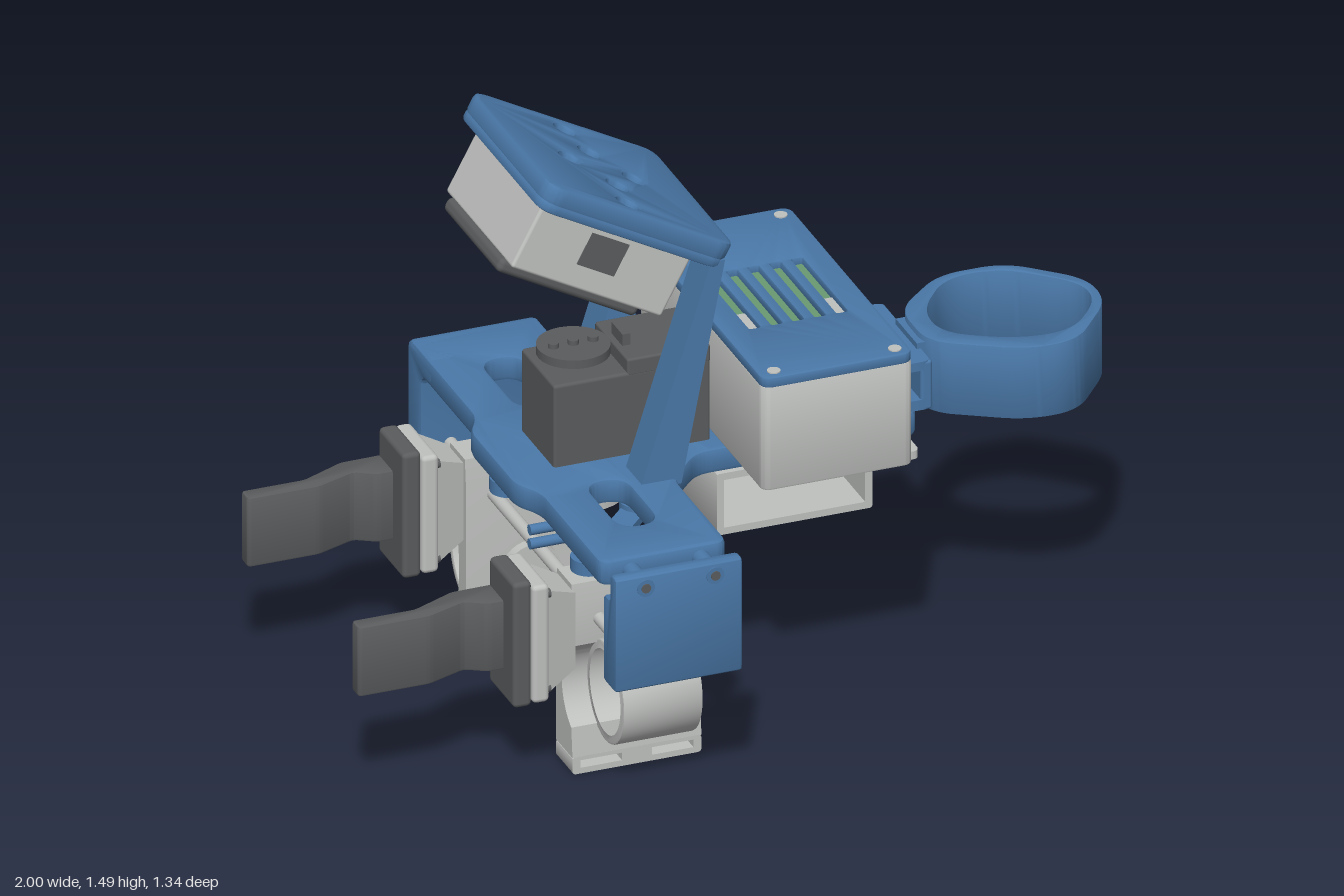
import * as THREE from 'three';
import { toCreasedNormals } from 'three/addons/utils/BufferGeometryUtils.js';
import { RoundedBoxGeometry } from 'three/addons/geometries/RoundedBoxGeometry.js';

const mat = (name, color) => Object.assign(new THREE.MeshStandardMaterial({ color }), { name });
const BLUE = mat('blue plastic', 0x4a78a8);
const LIGHT = mat('light grey plastic', 0xbfc1bf);
const DARK = mat('dark grey plastic', 0x5a5c5e);
const GREEN = mat('green circuit board', 0x6a9a72);
const RED = mat('red button', 0xb0523f);

// Closed outline with every corner rounded by up to r
function poly(pts, r = 0, Type = THREE.Shape) {
  const s = new Type(), v = pts.map(p => new THREE.Vector2(...p)), n = v.length;
  const toward = (a, b) => a.clone().lerp(b, Math.min(r / a.distanceTo(b), 0.49));
  v.forEach((c, i) => {
    const a = toward(c, v[(i + n - 1) % n]), b = toward(c, v[(i + 1) % n]);
    if (i) s.lineTo(a.x, a.y); else s.moveTo(a.x, a.y);
    if (r) s.quadraticCurveTo(c.x, c.y, b.x, b.y);
  });
  s.closePath();
  return s;
}
const rect = (x0, y0, x1, y1, r = 0, Type) => poly([[x0, y0], [x1, y0], [x1, y1], [x0, y1]], r, Type);
const circle = (x, y, r) => new THREE.Path().absarc(x, y, r, 0, Math.PI * 2);

function add(parent, name, geo, material, x = 0, y = 0, z = 0) {
  const m = new THREE.Mesh(geo, material);
  m.name = name;
  m.position.set(x, y, z);
  parent.add(m);
  return m;
}

// Extrude along an axis from lo to hi; outline is (x,y) for z, (x,z) for y, (z,y) for x
function extrude(parent, name, material, shape, axis, lo, hi, bevel = 0) {
  let g = new THREE.ExtrudeGeometry(shape, {
    depth: hi - lo - 2 * bevel, curveSegments: 12, bevelEnabled: bevel > 0,
    bevelThickness: bevel, bevelSize: bevel, bevelOffset: -bevel, bevelSegments: 2,
  });
  g.translate(0, 0, bevel);
  if (axis === 'y') g.rotateX(Math.PI / 2).translate(0, hi, 0);
  else if (axis === 'x') g.rotateY(-Math.PI / 2).translate(hi, 0, 0);
  else g.translate(0, 0, lo);
  return add(parent, name, toCreasedNormals(g, 0.6), material);
}

// Box given by its min and max corners
function box(parent, name, material, [x0, y0, z0], [x1, y1, z1], r = 0) {
  const d = [x1 - x0, y1 - y0, z1 - z0];
  const g = r ? new RoundedBoxGeometry(...d, 2, r) : new THREE.BoxGeometry(...d);
  return add(parent, name, g, material, (x0 + x1) / 2, (y0 + y1) / 2, (z0 + z1) / 2);
}

function cyl(parent, name, material, r, h, axis, x, y, z) {
  const m = add(parent, name, new THREE.CylinderGeometry(r, r, h, 28), material, x, y, z);
  if (axis === 'z') m.rotation.x = Math.PI / 2;
  if (axis === 'x') m.rotation.z = Math.PI / 2;
  return m;
}

function group(parent, name) {
  const g = new THREE.Group();
  g.name = name;
  parent.add(g);
  return g;
}

// Cross-shaped base, end flanges and guide rods
function buildFrame(root) {
  const g = group(root, 'frame');
  const base = poly([[-0.476, -0.64], [-0.155, -0.64], [-0.155, -0.29], [-0.06, -0.185], [0.5, -0.185],
    [0.5, 0.13], [-0.06, 0.13], [-0.155, 0.23], [-0.155, 0.572], [-0.476, 0.572],
    [-0.476, 0.18], [-0.515, 0.12], [-0.515, -0.17], [-0.476, -0.23]], 0.035);
  base.holes.push(rect(-0.363, -0.487, -0.267, -0.24, 0.055, THREE.Path), rect(-0.363, 0.18, -0.267, 0.415, 0.055, THREE.Path));
  extrude(g, 'basePlate', BLUE, base, 'y', 0.59, 0.655, 0.012);
  const bent = poly([[-0.5, 0.655], [-0.667, 0.655], [-0.667, 0.355], [-0.58, 0.355], [-0.58, 0.59], [-0.5, 0.59]], 0.03);
  extrude(g, 'bentFlange', BLUE, bent, 'x', -0.476, -0.155, 0.012);
  const clip = poly([[0.625, 0.655], [0.665, 0.655], [0.665, 0.355], [0.583, 0.355], [0.583, 0.582], [0.625, 0.582]], 0.014);
  extrude(g, 'endFlange', BLUE, clip, 'x', -0.476, -0.155, 0.008);
  for (const x of [-0.4, -0.225]) {
    cyl(g, 'flangeScrew', BLUE, 0.022, 0.1, 'z', x, 0.622, 0.618);
    cyl(g, 'screwSocket', DARK, 0.012, 0.006, 'z', x, 0.622, 0.667);
    cyl(g, 'guideRod', LIGHT, 0.016, 1.18, 'z', x, 0.4, 0);
  }
}

// Sliding finger holder; s is the side the ring points to
function buildHolder(root, name, s, z0, z1, cz, cy, rz, ry, power) {
  const g = group(root, name);
  const oval = (k, from, to, n) => Array.from({ length: n }, (_, i) => {
    const t = from + (to - from) * i / (n - 1), q = Math.sin(t);
    return [cz - s * (rz - k) * Math.cos(t), cy + (ry - k) * Math.sign(q) * Math.abs(q) ** power];
  });
  const carve = oval(0.008, -Math.PI / 2, Math.PI / 2, 41).filter(p => s * (p[0] - z1) < 0);
  extrude(g, 'slider', LIGHT, poly([[z0, 0.044], [z1, 0.044], ...carve, [z1, 0.44], [z1 - s * 0.006, 0.5], [z0 + s * 0.006, 0.5], [z0, 0.44]]),
    'x', -0.47, -0.145);
  const foot = rect(-0.47, 0, -0.145, 0.045, 0.01);
  foot.holes.push(rect(-0.45, 0.015, -0.345, 0.035, 0, THREE.Path), rect(-0.27, 0.015, -0.165, 0.035, 0, THREE.Path));
  extrude(g, 'sliderFoot', LIGHT, foot, 'z', Math.min(z0, z1), Math.max(z0, z1));
  const ring = poly(oval(0, 0, Math.PI * 2, 61).slice(1));
  ring.holes.push(poly(oval(0.018, 0, Math.PI * 2, 61).slice(1), 0, THREE.Path));
  extrude(g, 'fingerRing', LIGHT, ring, 'x', -0.405, -0.205, 0.004);
}

// Gripping jaw with its tapered mount
function buildJaw(root, name, dz) {
  const g = group(root, name);
  g.position.z = dz;
  const jaw = poly([[-1, -0.4], [-0.84, -0.4], [-0.73, -0.45], [-0.6, -0.452], [-0.6, -0.36],
    [-0.67, -0.36], [-0.72, -0.39], [-0.82, -0.353], [-1, -0.353]], 0.012);
  extrude(g, 'jaw', DARK, jaw, 'y', 0.295, 0.477, 0.006);
  box(g, 'jawBase', DARK, [-0.632, 0.22, -0.455], [-0.585, 0.55, -0.295], 0.012);
  box(g, 'mountPlate', LIGHT, [-0.588, 0.23, -0.468], [-0.545, 0.54, -0.283], 0.012);
  const taper = new THREE.BoxGeometry(0.08, 0.2, 0.1).toNonIndexed(), p = taper.attributes.position;
  for (let i = 0; i < p.count; i++) if (p.getX(i) < 0) p.setXYZ(i, p.getX(i), p.getY(i) * 1.35, p.getZ(i) * 1.6);
  taper.computeVertexNormals();
  add(g, 'taperedNeck', taper, LIGHT, -0.506, 0.385, -0.372);
  for (const y of [0.26, 0.51]) for (const z of [-0.45, -0.3]) cyl(g, 'mountScrew', DARK, 0.011, 0.008, 'x', -0.543, y, z);
}

// Servo, horn and the two push links under the base
function buildDrive(root) {
  const g = group(root, 'drive');
  box(g, 'servoBody', DARK, [-0.4, 0.57, -0.13], [-0.005, 0.87, 0.08], 0.008);
  box(g, 'servoTop', DARK, [-0.215, 0.86, -0.13], [-0.005, 0.905, 0.08], 0.006);
  cyl(g, 'servoHub', DARK, 0.04, 0.05, 'y', -0.31, 0.885, -0.025);
  cyl(g, 'servoDisc', DARK, 0.088, 0.022, 'y', -0.31, 0.905, -0.025);
  for (const x of [-0.36, -0.31, -0.26]) cyl(g, 'discScrew', DARK, 0.013, 0.016, 'y', x, 0.92, -0.025);
  box(g, 'servoPlug', DARK, [-0.2, 0.9, -0.06], [-0.18, 0.935, 0.01]);
  cyl(g, 'horn', LIGHT, 0.13, 0.022, 'y', -0.31, 0.545, -0.025);
  cyl(g, 'hornShaft', DARK, 0.04, 0.09, 'y', -0.31, 0.56, -0.025);
  for (const s of [1, -1]) {
    const a = [-0.31 + s * 0.09, -0.025 - s * 0.33], b = [-0.31 - s * 0.12, -0.025 - s * 0.11];
    const link = group(g, 'pushLink');
    const bar = box(link, 'linkBar', BLUE, [-0.16, 0.502, -0.03], [0.16, 0.522, 0.03]);
    bar.position.set((a[0] + b[0]) / 2, 0.512, (a[1] + b[1]) / 2);
    bar.rotation.y = Math.atan2(a[1] - b[1], b[0] - a[0]);
    for (const [x, z] of [a, b]) cyl(link, 'linkEye', BLUE, 0.045, 0.034, 'y', x, 0.517, z);
    for (const y of [0.505, 0.542]) cyl(link, 'linkPin', BLUE, 0.013, 0.1, 'x', -0.315 + s * 0.125, y, -0.025 - s * 0.175);
  }
}

// Electronics case with slotted lid, and the open tray below
function buildCase(root) {
  const g = group(root, 'electronicsCase');
  const body = rect(0.01, -0.42, 0.39, 0.375, 0.025);
  extrude(g, 'caseBody', LIGHT, body, 'y', 0.655, 0.928, 0.006);
  const lid = rect(0.01, -0.42, 0.39, 0.375, 0.03);
  const slots = [0.09, 0.146, 0.2, 0.255, 0.31];
  for (const x of slots) lid.holes.push(rect(x - 0.014, -0.17, x + 0.014, 0.122, 0.006, THREE.Path));
  extrude(g, 'lid', BLUE, lid, 'y', 0.926, 0.952, 0.004);
  box(g, 'circuitBoard', GREEN, [0.06, 0.926, -0.2], [0.34, 0.934, 0.15]);
  for (const x of [0.09, 0.31]) box(g, 'connector', LIGHT, [x - 0.014, 0.93, 0.02], [x + 0.014, 0.938, 0.122]);
  for (const x of [0.05, 0.355]) for (const z of [-0.385, 0.342]) {
    cyl(g, 'lidScrew', LIGHT, 0.016, 0.006, 'y', x, 0.952, z);
  }
  box(g, 'portRecess', DARK, [0.24, 0.735, -0.423], [0.325, 0.815, -0.418]);
  box(g, 'portBoard', GREEN, [0.25, 0.745, -0.426], [0.28, 0.805, -0.42]);
  extrude(g, 'dovetail', BLUE, poly([[0.12, 0.62], [0.29, 0.62], [0.265, 0.657], [0.145, 0.657]]), 'z', -0.18, 0.14);
  const tray = rect(-0.012, 0.428, 0.38, 0.59, 0.008);
  tray.holes.push(rect(0.006, 0.446, 0.362, 0.572, 0, THREE.Path));
  extrude(g, 'tray', LIGHT, tray, 'z', -0.182, 0.136);
  const tab = rect(0.36, -0.182, 0.5, 0.136, 0.02);
  for (const z of [-0.095, 0.045]) tab.holes.push(circle(0.445, z, 0.02));
  extrude(g, 'trayTab', LIGHT, tab, 'y', 0.535, 0.556);
}

// Side cuff with its forked bracket
function buildCuff(root) {
  const g = group(root, 'cuff');
  const cuff = poly([[0.535, -0.085], [0.68, -0.215], [0.85, -0.215], [1.004, -0.07], [1.004, 0.05],
    [0.87, 0.213], [0.74, 0.213], [0.535, 0.09]], 0.065);
  cuff.holes.push(poly([[0.585, -0.06], [0.69, -0.192], [0.83, -0.192], [0.98, -0.055], [0.98, 0.04],
    [0.875, 0.16], [0.74, 0.152], [0.585, 0.06]], 0.07, THREE.Path));
  extrude(g, 'cuffBand', BLUE, cuff, 'y', 0.626, 0.815, 0.004);
  box(g, 'bracketWall', BLUE, [0.505, 0.655, -0.183], [0.535, 0.785, 0.13], 0.008);
  box(g, 'bracketBlock', BLUE, [0.52, 0.64, -0.07], [0.575, 0.8, 0.065]);
  for (const [lo, hi] of [[0.658, 0.685], [0.762, 0.785]]) {
    const flange = rect(0.42, -0.183, 0.53, 0.13, 0.02);
    for (const z of [-0.095, 0.045]) flange.holes.push(circle(0.46, z, 0.022));
    extrude(g, 'bracketFlange', BLUE, flange, 'y', lo, hi);
  }
}

// Tilted camera head on two struts
function buildHead(root) {
  const strut = () => poly([[-0.245, 0.64], [-0.14, 0.64], [-0.03, 1.21], [-0.065, 1.21]]);
  extrude(root, 'strut', BLUE, strut(), 'z', 0.135, 0.235);
  extrude(root, 'strut', BLUE, strut(), 'z', -0.278, -0.175);
  const h = group(root, 'cameraHead');
  h.position.set(-0.25, 1.335, -0.025);
  h.rotation.z = -0.494;
  const top = rect(-0.265, -0.265, 0.265, 0.265, 0.05);
  for (const [x, z] of [[-0.02, -0.2], [-0.02, 0.2], [0, -0.09], [0, 0.09], [-0.095, 0], [0.087, 0]]) top.holes.push(circle(x, z, 0.028));
  extrude(h, 'headPlate', BLUE, top, 'y', -0.015, 0.035, 0.01);
  extrude(h, 'headPlateUnderside', BLUE, rect(-0.265, -0.265, 0.265, 0.265, 0.05), 'y', -0.035, -0.004, 0.01);
  box(h, 'cameraBody', LIGHT, [-0.23, -0.205, -0.21], [0.2, -0.03, 0.21], 0.008);
  box(h, 'cameraFace', DARK, [-0.24, -0.238, -0.175], [0.16, -0.2, 0.175], 0.015);
  for (const z of [-0.211, 0.211]) box(h, 'sideWindow', DARK, [-0.075, -0.145, z - 0.003], [0.03, -0.06, z + 0.003]);
}

export function createModel() {
  const root = new THREE.Group();
  root.name = 'roboticGripper';
  buildFrame(root);
  buildHolder(root, 'leftHolder', 1, 0.27, 0.375, 0.418, 0.228, 0.12, 0.128, 1);
  buildHolder(root, 'rightHolder', -1, -0.305, -0.41, -0.46, 0.193, 0.12, 0.163, 0.8);
  const button = add(root, 'button', new THREE.SphereGeometry(0.05, 24, 16), RED, -0.31, 0.193, -0.345);
  button.scale.z = 0.35;
  cyl(root, 'buttonHousing', LIGHT, 0.07, 0.03, 'z', -0.31, 0.19, -0.295);
  buildJaw(root, 'rightJaw', 0);
  buildJaw(root, 'leftJaw', 0.705);
  buildDrive(root);
  buildCase(root);
  buildCuff(root);
  buildHead(root);
  return root;
}
